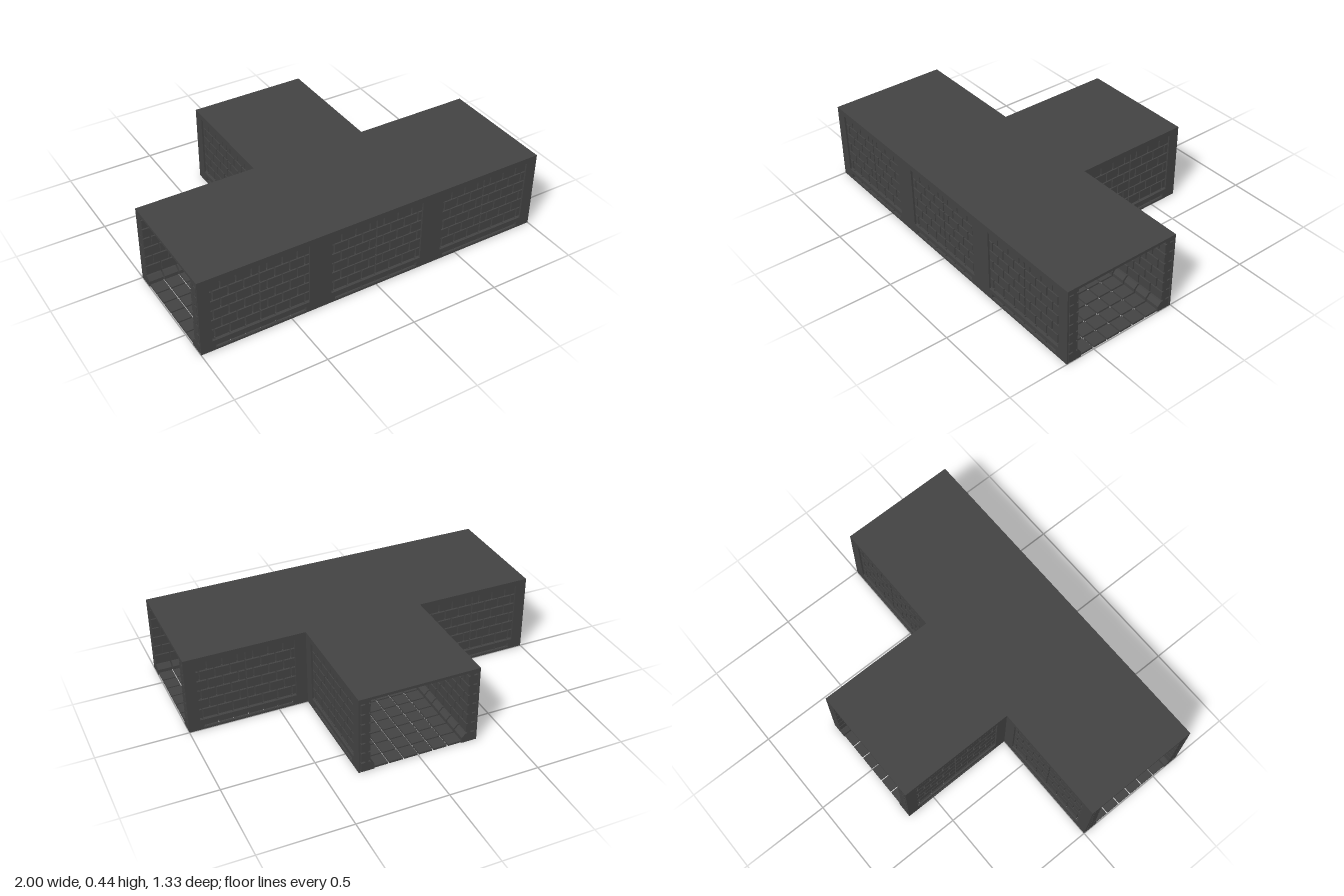
import * as THREE from 'three';
import { mergeGeometries } from 'three/addons/utils/BufferGeometryUtils.js';

const T = 2 / 3;        // side of one square module
const HALF = T / 2;
const TOP = 0.445;      // overall height
const GAP = 0.008;      // joint between stones

// Box given by its minimum and maximum corners
function box(x0, x1, y0, y1, z0, z1) {
  const g = new THREE.BoxGeometry(x1 - x0, y1 - y0, z1 - z0);
  return g.translate((x0 + x1) / 2, (y0 + y1) / 2, (z0 + z1) / 2);
}

function rectHole(x0, x1, y0, y1) {
  const p = new THREE.Path();
  p.moveTo(x0, y0).lineTo(x0, y1).lineTo(x1, y1).lineTo(x1, y0).closePath();
  return p;
}

// Outer facing plate with a large brick window and a low slot; outer face at z = 0
function facingGeometry() {
  const s = new THREE.Shape();
  s.moveTo(-HALF, 0).lineTo(HALF, 0).lineTo(HALF, 0.432).lineTo(-HALF, 0.432).closePath();
  s.holes.push(rectHole(-0.27, 0.27, 0.06, 0.413), rectHole(-0.25, 0.25, 0.012, 0.038));
  const g = new THREE.ExtrudeGeometry(s, { depth: 0.01, bevelEnabled: false });
  return g.translate(0, 0, -0.01);
}

// Six staggered courses, mirrored about a central joint
function brickGeometry() {
  const parts = [];
  const rows = 6, y0 = 0.06, h = (0.413 - y0) / rows, w = HALF / 4;
  for (let r = 0; r < rows; r++) {
    const joints = r % 2 ? [0, w / 2, 1.5 * w, 2.5 * w, 3.5 * w, HALF] : [0, w, 2 * w, 3 * w, HALF];
    for (let i = 0; i + 1 < joints.length; i++) {
      const a = joints[i] + GAP / 2;
      const last = i + 2 === joints.length;
      const b = joints[i + 1] - (last ? 0 : GAP / 2);
      const lo = y0 + r * h + GAP / 2, hi = y0 + (r + 1) * h - GAP / 2;
      parts.push(box(a, b, lo, hi, -0.064, -0.014), box(-b, -a, lo, hi, -0.064, -0.014));
    }
  }
  // Course under the ceiling
  parts.push(box(-HALF, HALF, 0.417, 0.432, -0.064, -0.01));
  return mergeGeometries(parts);
}

// Row of chamfered stones along the foot of the wall
function plinthGeometry() {
  const s = new THREE.Shape();
  s.moveTo(0.014, 0.001).lineTo(0.086, 0.001).lineTo(0.086, 0.032);
  s.lineTo(0.066, 0.054).lineTo(0.014, 0.054).closePath();
  const n = 8, w = T / n, parts = [];
  for (let i = 0; i < n; i++) {
    const a = i === 0 ? 0 : GAP / 2, b = i === n - 1 ? 0 : GAP / 2;
    const g = new THREE.ExtrudeGeometry(s, { depth: w - a - b, bevelEnabled: false });
    // Profile runs inward (-z), length runs along x
    parts.push(g.rotateY(Math.PI / 2).translate(-HALF + i * w + a, 0, 0));
  }
  return mergeGeometries(parts);
}

// Paving of one module
function pavingGeometry() {
  const n = 8, w = T / n, parts = [];
  for (let i = 0; i < n; i++) {
    for (let j = 0; j < n; j++) {
      const x = -HALF + i * w, z = -HALF + j * w;
      parts.push(box(x + GAP / 2, x + w - GAP / 2, 0.003, 0.014, z + GAP / 2, z + w - GAP / 2));
    }
  }
  return mergeGeometries(parts);
}

export function createModel() {
  const model = new THREE.Group();
  model.name = 'corridorJunction';
  const stone = new THREE.MeshStandardMaterial({ color: 0x424242 });
  stone.name = 'darkStone';

  function add(parent, name, geometry) {
    const m = new THREE.Mesh(geometry, stone);
    m.name = name;
    parent.add(m);
    return m;
  }

  const facing = facingGeometry();
  const bricks = brickGeometry();
  const mortar = box(-HALF, HALF, 0.03, 0.432, -0.054, -0.036);
  const plinth = plinthGeometry();

  // Walls: position of the outer face and the turn of its outward direction
  const walls = [
    ['frontWallRight', -T, T, 0],
    ['frontWallMiddle', 0, T, 0],
    ['frontWallLeft', T, T, 0],
    ['rearWallRight', -T, 0, Math.PI],
    ['rearWallLeft', T, 0, Math.PI],
    ['stemWallLeft', HALF, -HALF, Math.PI / 2],
    ['stemWallRight', -HALF, -HALF, -Math.PI / 2],
  ];
  for (const [name, x, z, turn] of walls) {
    const wall = new THREE.Group();
    wall.name = name;
    wall.position.set(x, 0, z);
    wall.rotation.y = turn;
    add(wall, 'facingPlate', facing);
    add(wall, 'bricks', bricks);
    add(wall, 'mortar', mortar);
    add(wall, 'plinth', plinth);
    model.add(wall);
  }

  // Posts filling the two inner corners
  for (const [side, name] of [[1, 'cornerPostLeft'], [-1, 'cornerPostRight']]) {
    add(model, name, box(-0.032, 0.032, 0, 0.432, 0, 0.064)).position.x = side * (HALF - 0.032);
  }

  // Floor
  const paving = pavingGeometry();
  for (const [x, z] of [[-T, HALF], [0, HALF], [T, HALF], [0, -HALF]]) {
    add(model, 'paving', paving).position.set(x, 0, z);
  }

  // T-shaped ceiling slab
  const t = new THREE.Shape();
  t.moveTo(-1, -T).lineTo(1, -T).lineTo(1, 0).lineTo(HALF, 0).lineTo(HALF, T);
  t.lineTo(-HALF, T).lineTo(-HALF, 0).lineTo(-1, 0).closePath();
  const slab = new THREE.ExtrudeGeometry(t, { depth: 0.015, bevelEnabled: false });
  add(model, 'ceilingSlab', slab.rotateX(-Math.PI / 2).translate(0, TOP - 0.015, 0));

  return model;
}
